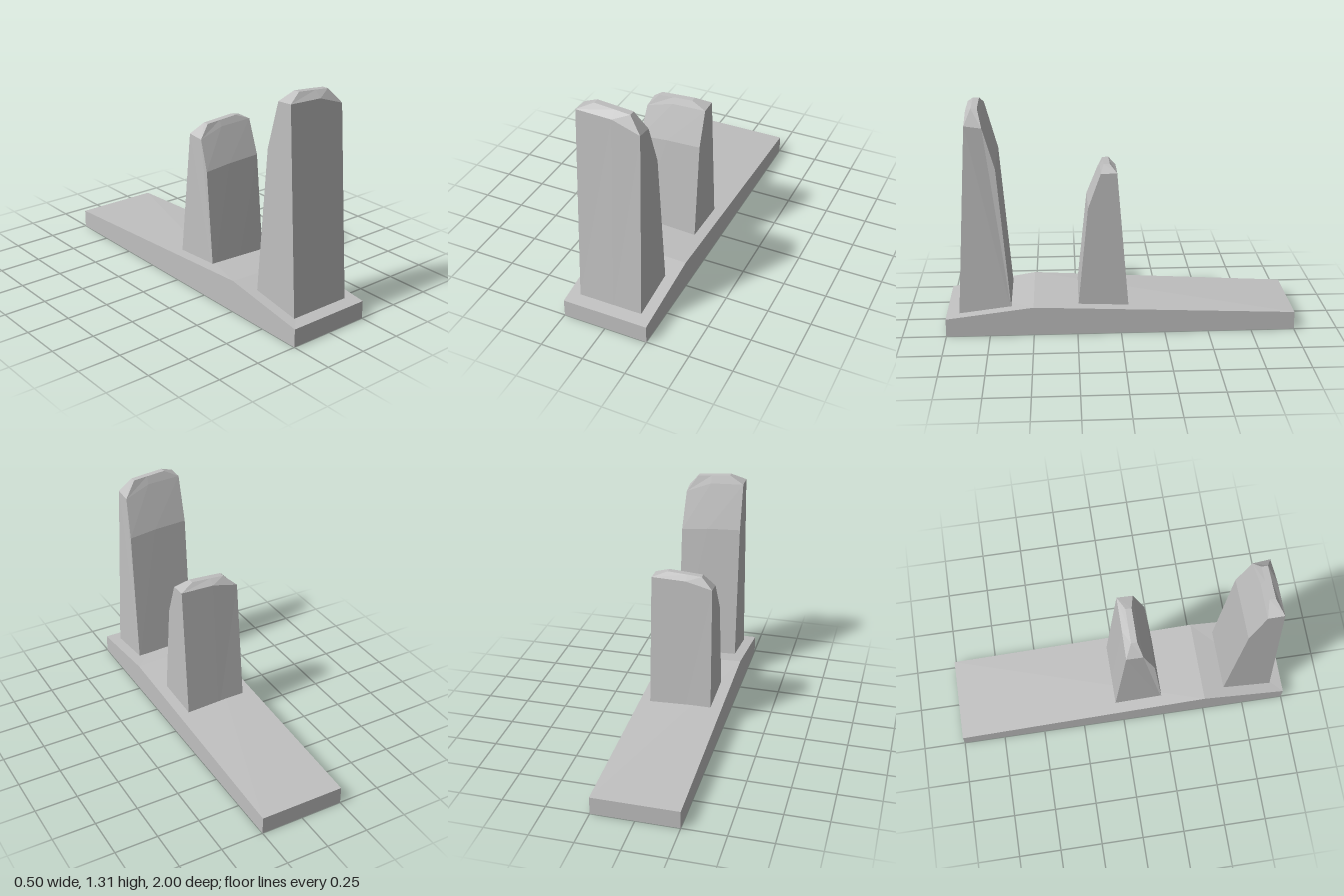
import * as THREE from 'three';

// Tower cross-sections along x; each ring runs from the front foot over the top to the back foot: [x, y, z]
const SECTIONS = [
  [[-0.187, 0.1, 0.927], [-0.187, 1.27, 0.857], [-0.1, 1.31, 0.82], [-0.1, 1.31, 0.785],
    [-0.187, 1.265, 0.765], [-0.187, 0.995, 0.693], [-0.187, 0.1, 0.625]],
  [[0.015, 0.1, 0.927], [0.015, 1.263, 0.857], [0.015, 1.3, 0.82], [0.015, 1.3, 0.785],
    [0.015, 1.255, 0.768], [0.015, 0.985, 0.693], [0.015, 0.1, 0.625]],
  [[0.185, 0.1, 0.927], [0.17, 1.21, 0.857], [0.1, 1.292, 0.82], [0.1, 1.292, 0.785],
    [0.167, 1.195, 0.76], [0.18, 0.965, 0.693], [0.185, 0.1, 0.625]],
];

function towerGeometry() {
  const positions = [];
  // Flat polygon as a triangle fan
  const polygon = (points) => {
    for (let i = 1; i < points.length - 1; i++) {
      positions.push(...points[0], ...points[i], ...points[i + 1]);
    }
  };

  // Walls, top and underside
  for (let i = 0; i < SECTIONS.length - 1; i++) {
    const a = SECTIONS[i];
    const b = SECTIONS[i + 1];
    for (let j = 0; j < a.length; j++) {
      const k = (j + 1) % a.length;
      polygon([a[j], b[j], b[k], a[k]]);
    }
  }

  // End walls and the bevels above them
  for (const loop of [[0, 1, 4, 5, 6], [1, 2, 3, 4]]) {
    polygon(loop.map((j) => SECTIONS[0][j]));
    polygon(loop.map((j) => SECTIONS[2][j]).reverse());
  }

  const geometry = new THREE.BufferGeometry();
  geometry.setAttribute('position', new THREE.Float32BufferAttribute(positions, 3));
  geometry.computeVertexNormals();
  return geometry;
}

// Slab whose top rises to a slightly tilted ridge
function baseGeometry() {
  const box = new THREE.BoxGeometry(0.5, 0.105, 2, 1, 1, 2);
  box.translate(0, 0.0525, 0);
  const p = box.attributes.position;
  for (let i = 0; i < p.count; i++) {
    if (Math.abs(p.getZ(i)) > 0.5) continue;
    p.setZ(i, 0.5);
    if (p.getY(i) > 0.05) p.setY(i, p.getX(i) > 0 ? 0.167 : 0.187);
  }
  const geometry = box.toNonIndexed();
  geometry.computeVertexNormals();
  return geometry;
}

export function createModel() {
  const model = new THREE.Group();
  model.name = 'twinTowers';
  const stone = new THREE.MeshStandardMaterial({ color: 0xc0c0c0 });
  stone.name = 'stone grey';

  const add = (name, geometry) => {
    const mesh = new THREE.Mesh(geometry, stone);
    mesh.name = name;
    model.add(mesh);
    return mesh;
  };

  add('base', baseGeometry());
  const tower = towerGeometry();
  add('frontTower', tower);

  // Shorter copy turned half way round
  const rear = add('rearTower', tower);
  rear.rotation.y = Math.PI;
  rear.scale.y = 0.737;
  rear.position.z = 0.877;
  return model;
}
